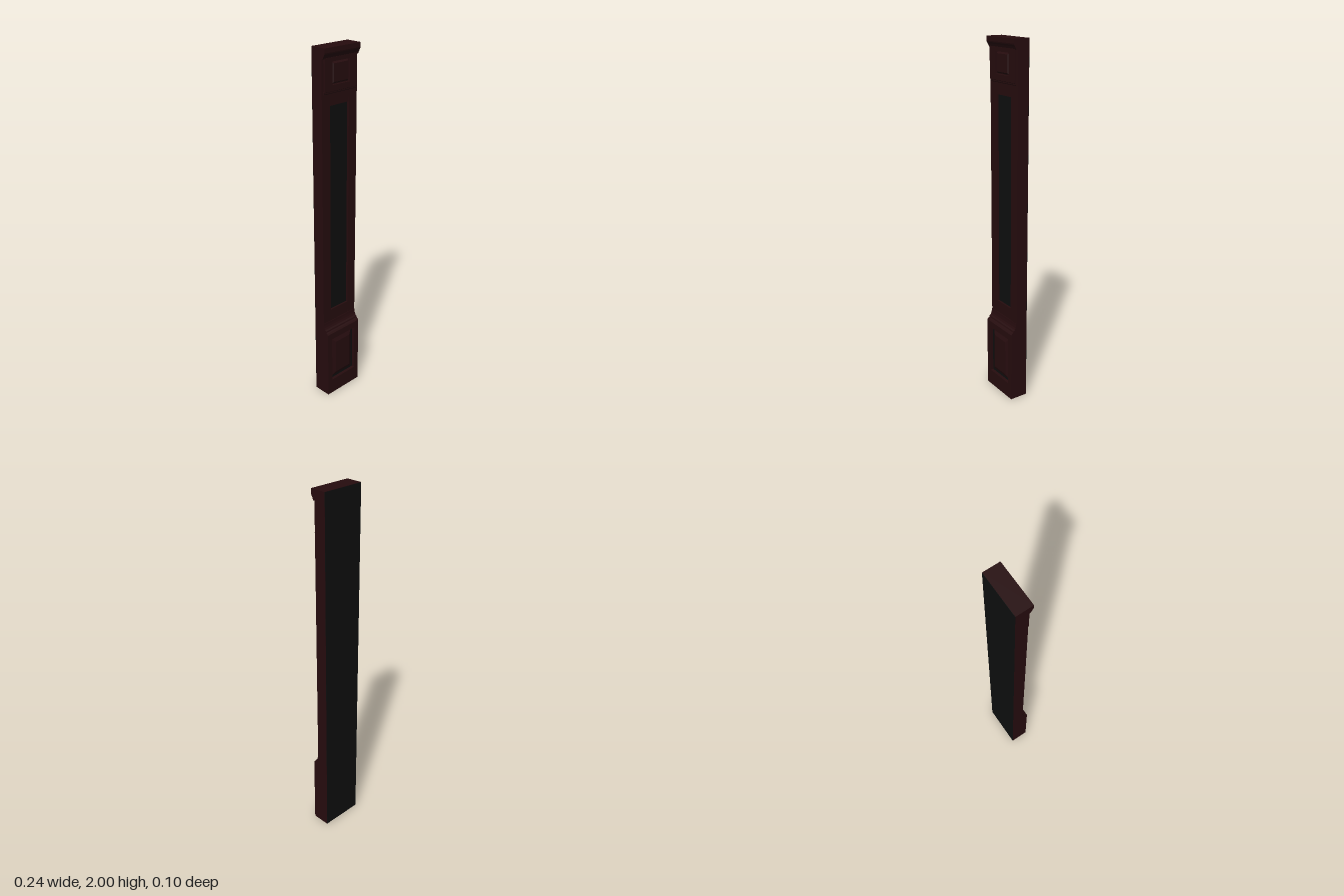
import * as THREE from 'three';

const wood = new THREE.MeshStandardMaterial({ color: 0x260c0e });
const dark = new THREE.MeshStandardMaterial({ color: 0x0e0f0f });
const HALF = 0.122, BACK = -0.052;

export function createModel() {
  const model = new THREE.Group();

  const add = (name, geometry, material = wood) => {
    const mesh = new THREE.Mesh(geometry, material);
    mesh.name = name;
    model.add(mesh);
    return mesh;
  };

  const block = (name, half, y0, y1, z0, z1, material) =>
    add(name, new THREE.BoxGeometry(half * 2, y1 - y0, z1 - z0), material)
      .position.set(0, (y0 + y1) / 2, (z0 + z1) / 2);

  const rect = (half, y0, y1, Type = THREE.Shape) => new Type([
    new THREE.Vector2(-half, y0), new THREE.Vector2(half, y0),
    new THREE.Vector2(half, y1), new THREE.Vector2(-half, y1),
  ]);

  // Rectangular frame around an opening
  const frame = (name, half, y0, y1, openHalf, o0, o1, z0, z1) => {
    const shape = rect(half, y0, y1);
    shape.holes.push(rect(openHalf, o0, o1, THREE.Path));
    add(name, new THREE.ExtrudeGeometry(shape, { depth: z1 - z0, bevelEnabled: false }))
      .position.z = z0;
  };

  // Raised panel with sloping margins
  const raisedPanel = (name, half, y0, y1, margin, z0, z1) => {
    const geometry = new THREE.ExtrudeGeometry(rect(half - margin, y0 + margin, y1 - margin), {
      depth: 0.001, bevelThickness: z1 - z0, bevelSize: margin, bevelSegments: 1,
    });
    add(name, geometry).position.z = z0 - 0.001;
  };

  // Moulding: a (z, y) profile run across the width
  const moulding = (name, half, points) => {
    const shape = new THREE.Shape(points.map(([z, y]) => new THREE.Vector2(z, y)));
    const geometry = new THREE.ExtrudeGeometry(shape, { depth: half * 2, bevelEnabled: false });
    geometry.rotateY(-Math.PI / 2);
    geometry.scale(1, 1, 1).translate(half, 0, 0);
    add(name, geometry);
  };

  // Dark backing board
  block('backBoard', HALF - 0.0005, 0.001, 1.999, BACK, BACK + 0.006, dark);

  // Plinth with recessed, fielded panel
  block('plinthCore', HALF, 0, 0.4, BACK + 0.001, 0.034);
  frame('plinthFrame', HALF, 0, 0.4, 0.09, 0.09, 0.37, 0.034, 0.052);
  block('plinthRecess', 0.09, 0.09, 0.37, 0.03, 0.0345, dark);
  raisedPanel('plinthPanel', 0.078, 0.102, 0.358, 0.025, 0.034, 0.046);

  // Moulding from plinth to shaft
  moulding('plinthCap', HALF, [
    [BACK + 0.001, 0.4], [0.052, 0.4], [0.052, 0.408], [0.045, 0.416], [0.038, 0.42],
    [0.036, 0.428], [0.029, 0.434], [0.024, 0.444], [0.021, 0.458], [0.02, 0.47],
    [BACK + 0.001, 0.47],
  ]);

  // Shaft with long sunk panel
  block('shaftCore', HALF, 0.47, 1.78, BACK + 0.001, 0.004);
  block('shaftPanel', 0.066, 0.54, 1.71, 0, 0.006, dark);
  for (const side of [-1, 1]) {
    const width = HALF - 0.066;
    add('shaftStile', new THREE.BoxGeometry(width, 1.31, 0.014))
      .position.set(side * (0.066 + width / 2), 1.125, 0.011);
  }
  block('shaftBottomRail', 0.066, 0.47, 0.54, 0.004, 0.0165);
  block('shaftTopRail', 0.066, 1.71, 1.78, 0.004, 0.0165);

  // Capital block, its panel and the bead below
  block('capitalCore', HALF, 1.78, 1.96, BACK + 0.001, 0.018);
  frame('capitalFrame', 0.11, 1.785, 1.95, 0.06, 1.815, 1.93, 0.018, 0.03);
  raisedPanel('capitalPanel', 0.056, 1.819, 1.926, 0.008, 0.018, 0.027);
  moulding('capitalBead', 0.112, [
    [0.01, 1.772], [0.021, 1.772], [0.025, 1.776], [0.025, 1.782], [0.03, 1.787], [0.01, 1.787],
  ]);

  // Crown moulding
  moulding('crown', HALF, [
    [BACK + 0.001, 1.945], [0.026, 1.945], [0.029, 1.952], [0.034, 1.962], [0.039, 1.97],
    [0.041, 1.976], [0.041, 2], [BACK + 0.001, 2],
  ]);

  return model;
}
